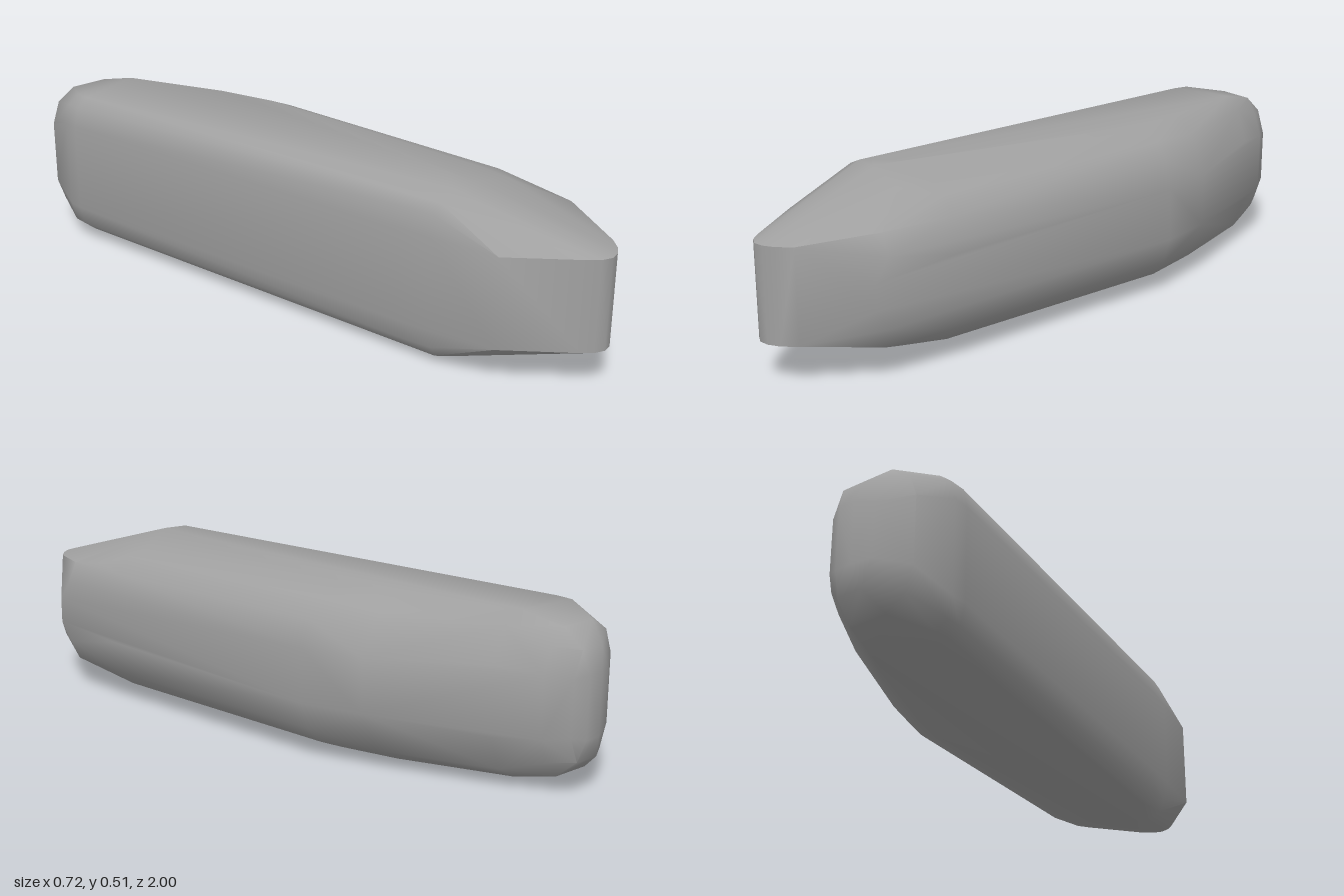
import * as THREE from 'three';
import { ConvexGeometry } from 'three/addons/geometries/ConvexGeometry.js';
import { toCreasedNormals } from 'three/addons/utils/BufferGeometryUtils.js';

const MID = 0.256; // height of the plane of symmetry

// Cross-sections from back to front: z, then [x, half height] from right to left
const sections = [
  [-1, [[-0.2, 0.09], [-0.15, 0.09]]],
  [-0.98, [[-0.25, 0.08], [-0.22, 0.155], [-0.14, 0.155], [-0.11, 0.08]]],
  [-0.92, [[-0.335, 0.1], [-0.31, 0.17], [-0.25, 0.208], [-0.13, 0.208], [-0.09, 0.16], [-0.06, 0.09]]],
  [-0.8, [[-0.36, 0.14], [-0.345, 0.2], [-0.31, 0.228], [-0.1, 0.236], [-0.04, 0.2], [0, 0.1]]],
  [-0.75, [[-0.36, 0.14], [-0.345, 0.2], [-0.31, 0.229]]],
  [-0.48, [[0.03, 0.243], [0.11, 0.2], [0.172, 0.08]]],
  [-0.3, [[0.08, 0.246], [0.16, 0.212], [0.21, 0.16], [0.235, 0.08]]],
  [0.5, [[-0.14, 0.14], [-0.125, 0.2], [-0.09, 0.237], [0.05, 0.255], [0.19, 0.23], [0.26, 0.208], [0.31, 0.16], [0.326, 0.06]]],
  [0.6, [[-0.118, 0.14], [-0.103, 0.2], [-0.085, 0.232], [-0.03, 0.254], [0.05, 0.256], [0.19, 0.228], [0.3, 0.175], [0.337, 0.06]]],
  [0.72, [[0.32, 0.16], [0.348, 0.1]]],
  [0.76, [[0.356, 0.038]]],
];

// Outline of the upright blunt nose: [x, z]
const nose = [[-0.07, 0.8], [0.09, 0.965], [0.12, 0.99], [0.15, 1], [0.18, 0.992], [0.21, 0.97], [0.24, 0.93]];
const NOSE_HALF = 0.137;

export function createModel() {
  const grey = new THREE.MeshStandardMaterial({ color: 0xa0a0a0 });
  grey.name = 'grey';

  const points = [];
  const addPair = (x, half, z) => {
    for (const side of [-1, 1]) points.push(new THREE.Vector3(x, MID + side * half, z));
  };
  for (const [z, row] of sections) for (const [x, half] of row) addPair(x, half, z);
  for (const [x, z] of nose) addPair(x, NOSE_HALF, z);

  // Smooth convex body with sharp edges kept around the nose
  const body = new THREE.Mesh(toCreasedNormals(new ConvexGeometry(points), 0.8), grey);
  body.name = 'body';

  const group = new THREE.Group();
  group.name = 'bluntNosedBar';
  group.add(body);
  return group;
}
